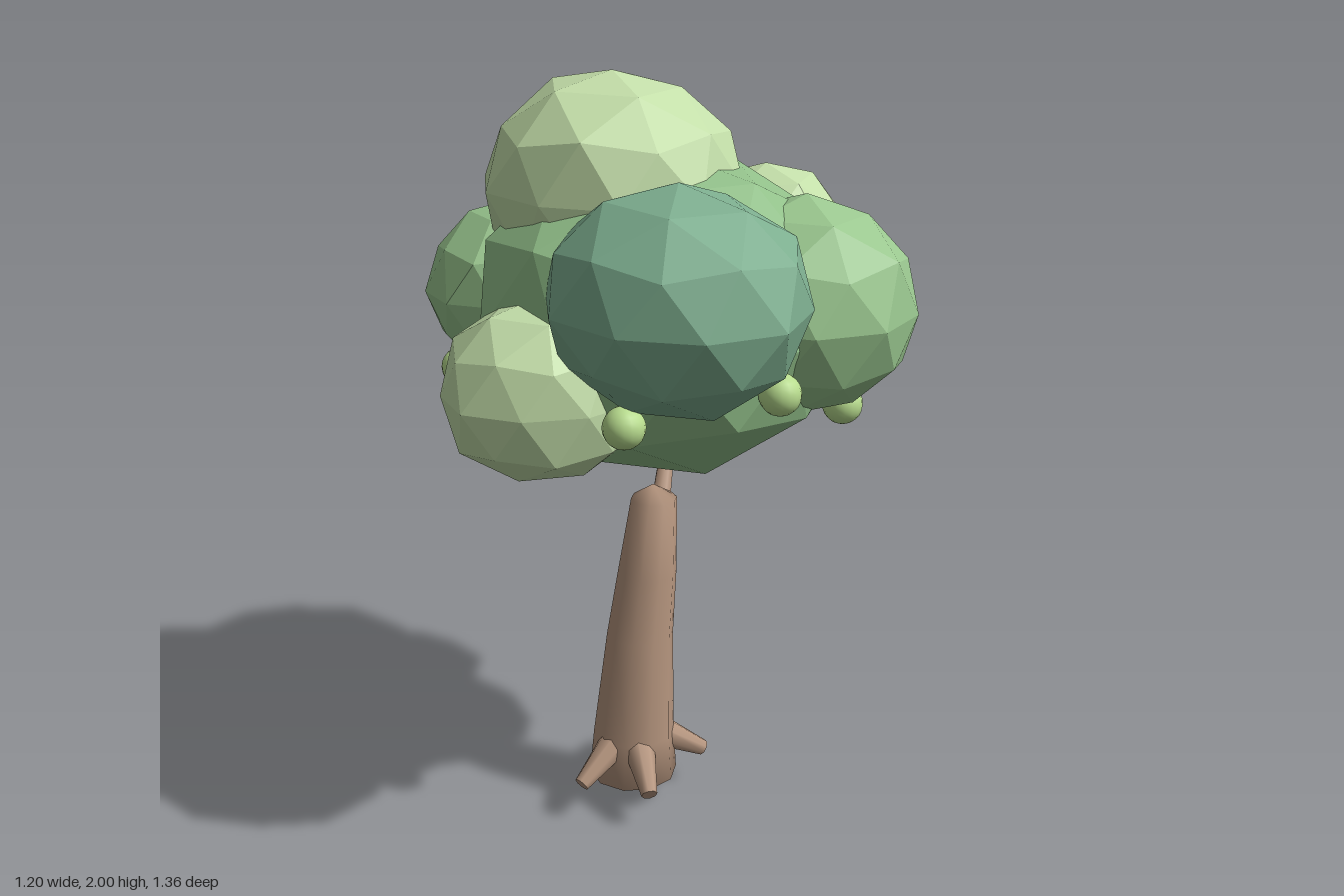
import * as THREE from 'three';
import { mergeVertices } from 'three/addons/utils/BufferGeometryUtils.js';

const paint = (color, flatShading = false) => new THREE.MeshStandardMaterial({ color, flatShading });
const BARK = paint(0xb5957e);
const BERRY = paint(0xb8dc8e);
const DARK = paint(0x7dae8f, true);
const MID = paint(0x9ac78f, true);
const LIGHT = paint(0xc3dea9, true);
const CORE = paint(0x92c08a, true);

// Repeatable noise in -1..1, the same for coincident corners
function noise(x, y, z, seed) {
  const s = Math.sin(Math.round(x * 100) * 12.99 + Math.round(y * 100) * 78.23 + Math.round(z * 100) * 37.72 + seed * 51.3) * 437.585;
  return (s - Math.floor(s)) * 2 - 1;
}

// Faceted leaf clump with a corner at each pole, fitted to its centre and half sizes
function clump(name, material, centre, half, turn) {
  const geo = new THREE.IcosahedronGeometry(1, 1);
  geo.rotateZ(-Math.atan(2 / (1 + Math.sqrt(5)))).rotateY(turn);
  const p = geo.attributes.position;
  const v = new THREE.Vector3();
  for (let i = 0; i < p.count; i++) {
    v.fromBufferAttribute(p, i);
    v.multiplyScalar(1 + 0.035 * noise(v.x, v.y, v.z, turn));
    p.setXYZ(i, v.x, v.y, v.z);
  }
  geo.center();
  geo.computeBoundingBox();
  const b = geo.boundingBox.max;
  geo.scale(half[0] / b.x, half[1] / b.y, half[2] / b.z);
  geo.computeVertexNormals();
  const mesh = new THREE.Mesh(geo, material);
  mesh.name = name;
  mesh.position.set(...centre);
  return mesh;
}

// Tapered round limb between two points
function limb(name, from, to, r0, r1) {
  const a = new THREE.Vector3(...from);
  const b = new THREE.Vector3(...to);
  const dir = b.clone().sub(a);
  const mesh = new THREE.Mesh(new THREE.CylinderGeometry(r1, r0, dir.length(), 8), BARK);
  mesh.name = name;
  mesh.position.copy(a).add(b).multiplyScalar(0.5);
  mesh.quaternion.setFromUnitVectors(new THREE.Vector3(0, 1, 0), dir.normalize());
  return mesh;
}

// Trunk: turned profile bent along a curved centre line
function trunk() {
  // radius, height, centre x, centre z
  const rings = [
    [0, 0, -0.075, 0], [0.122, 0.07, -0.073, 0], [0.112, 0.2, -0.07, 0], [0.091, 0.5, -0.051, 0.003],
    [0.08, 0.68, -0.028, 0], [0.062, 0.885, -0.002, -0.012], [0, 0.92, 0, -0.022],
  ];
  let geo = new THREE.LatheGeometry(rings.map(([r, y]) => new THREE.Vector2(r, y)), 10);
  const p = geo.attributes.position;
  for (let i = 0; i < p.count; i++) {
    const ring = rings[i % rings.length];
    p.setX(i, p.getX(i) + ring[2]);
    p.setZ(i, p.getZ(i) + ring[3]);
  }
  geo.deleteAttribute('uv');
  geo.deleteAttribute('normal');
  geo = mergeVertices(geo);
  geo.computeVertexNormals();
  const mesh = new THREE.Mesh(geo, BARK);
  mesh.name = 'trunk';
  return mesh;
}

export function createModel() {
  const tree = new THREE.Group();
  tree.name = 'tree';
  tree.add(trunk(), limb('branch', [0.035, 0.78, -0.068], [0.122, 0.98, -0.184], 0.03, 0.019));

  // Four roots spreading unevenly around the base
  for (const a of [0.2, Math.PI / 2 + 0.2, Math.PI - 0.38, -Math.PI / 2 + 0.28]) {
    const at = (r, y) => [-0.072 + Math.cos(a) * r, y, Math.sin(a) * r];
    tree.add(limb('root', at(0.07, 0.185), at(0.203, 0.108), 0.045, 0.022));
  }

  // Crown of overlapping leaf clumps
  const crown = new THREE.Group();
  crown.name = 'crown';
  crown.add(
    clump('coreLeaves', CORE, [0.015, 1.4, 0.01], [0.49, 0.42, 0.48], 0.3),
    clump('topLeaves', LIGHT, [-0.065, 1.72, -0.125], [0.335, 0.28, 0.335], 0.9),
    clump('frontLeaves', DARK, [-0.11, 1.54, 0.35], [0.32, 0.275, 0.33], 1.6),
    clump('backLeaves', DARK, [0.075, 1.385, -0.345], [0.31, 0.29, 0.335], 0.5),
    clump('frontLeftLeaves', MID, [0.305, 1.445, 0.22], [0.29, 0.28, 0.285], 2.1),
    clump('backLeftLeaves', LIGHT, [0.355, 1.5, -0.09], [0.245, 0.24, 0.22], 1.2),
    clump('sideRightLeaves', LIGHT, [-0.345, 1.285, 0.11], [0.255, 0.235, 0.24], 0.7),
    clump('backRightLeaves', MID, [-0.26, 1.42, -0.31], [0.24, 0.24, 0.23], 2.6),
  );
  tree.add(crown);

  // Round fruit nestled under the clumps
  const berries = [[-0.27, 1.27, 0.41], [0.1, 1.32, 0.48], [0.39, 1.19, 0.285], [-0.47, 1.27, -0.17], [0.06, 1.16, -0.45]];
  const berryGeo = new THREE.SphereGeometry(0.052, 16, 12);
  for (const at of berries) {
    const berry = new THREE.Mesh(berryGeo, BERRY);
    berry.name = 'fruit';
    berry.position.set(...at);
    tree.add(berry);
  }
  return tree;
}
